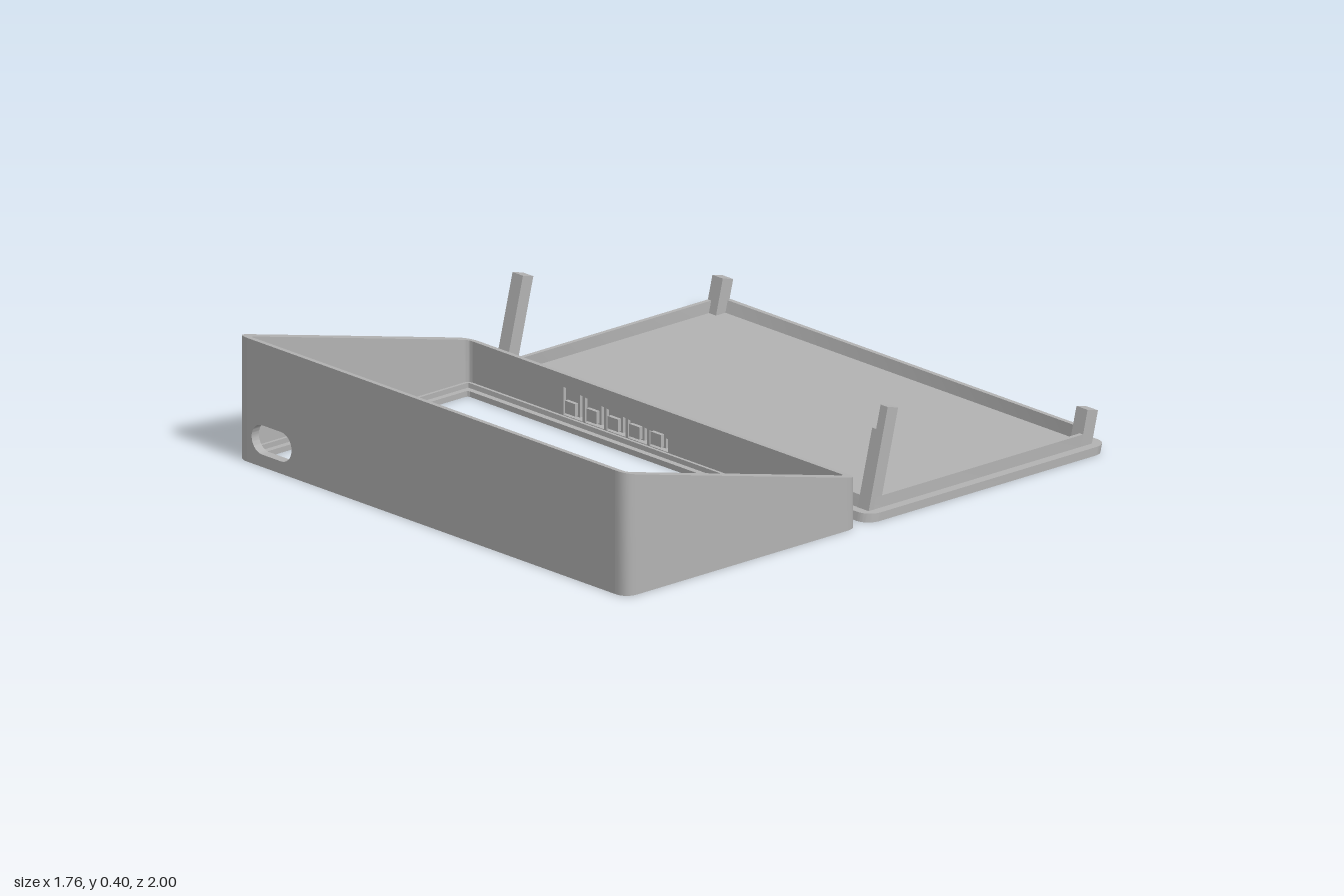
import * as THREE from 'three';
import { toCreasedNormals } from 'three/addons/utils/BufferGeometryUtils.js';

const plastic = new THREE.MeshStandardMaterial({ color: 0xb2b2b2 });
plastic.name = 'grey plastic';

const SLOPE = 0.249;                              // tilt of the sloped opening
const rimHeight = (z) => 0.4 - SLOPE * (1 - z);

// Move every vertex by a rule
function warp(geo, rule) {
  const p = geo.attributes.position;
  const v = new THREE.Vector3();
  for (let i = 0; i < p.count; i++) {
    rule(v.fromBufferAttribute(p, i));
    p.setXYZ(i, v.x, v.y, v.z);
  }
  geo.computeVertexNormals();
  return geo;
}

function add(parent, name, geo) {
  const mesh = new THREE.Mesh(toCreasedNormals(geo, 0.6), plastic);
  mesh.name = name;
  parent.add(mesh);
  return mesh;
}

// Rounded rectangle, a..b across and c..d along
function roundRect(a, b, c, d, r, Type = THREE.Shape) {
  const s = new Type();
  s.moveTo(a + r, c);
  s.lineTo(b - r, c);
  s.absarc(b - r, c + r, r, -Math.PI / 2, 0, false);
  s.lineTo(b, d - r);
  s.absarc(b - r, d - r, r, 0, Math.PI / 2, false);
  s.lineTo(a + r, d);
  s.absarc(a + r, d - r, r, Math.PI / 2, Math.PI, false);
  s.lineTo(a, c + r);
  s.absarc(a + r, c + r, r, Math.PI, Math.PI * 1.5, false);
  return s;
}

// Plan outline by z range (shape y is -z)
const plan = (x0, x1, z0, z1, r, Type) => roundRect(x0, x1, -z1, -z0, r, Type);

const extrude = (shape, depth) =>
  new THREE.ExtrudeGeometry(shape, { depth, bevelEnabled: false, curveSegments: 8 });

// Slab standing from y0 to y1 over a plan outline
const slab = (shape, y0, y1) => extrude(shape, y1 - y0).rotateX(-Math.PI / 2).translate(0, y0, 0);

// Upright wall between z0 and z1 with holes and a sloped top
function wall(holes, z0, z1) {
  const s = new THREE.Shape();
  s.moveTo(-0.83, 0);
  s.lineTo(0.83, 0);
  s.lineTo(0.83, 1);
  s.lineTo(-0.83, 1);
  s.closePath();
  s.holes.push(...holes);
  return warp(extrude(s, z1 - z0).translate(0, 0, z0), (v) => {
    if (v.y > 0.99) v.y = rimHeight(v.z);
  });
}

function buildHousing() {
  const housing = new THREE.Group();
  housing.name = 'housing';

  // Side walls with rounded corners
  for (const s of [1, -1]) {
    const c = new THREE.Shape();
    c.moveTo(s * 0.83, -1);
    c.quadraticCurveTo(s * 0.88, -1, s * 0.88, -0.95);
    c.lineTo(s * 0.88, -0.085);
    c.quadraticCurveTo(s * 0.88, -0.035, s * 0.83, -0.035);
    c.lineTo(s * 0.83, -0.065);
    c.quadraticCurveTo(s * 0.85, -0.065, s * 0.85, -0.085);
    c.lineTo(s * 0.85, -0.95);
    c.quadraticCurveTo(s * 0.85, -0.97, s * 0.83, -0.97);
    c.closePath();
    add(housing, s > 0 ? 'leftWall' : 'rightWall', warp(slab(c, 0, 1), (v) => {
      v.y *= rimHeight(v.z);
    }));
  }

  // Front wall with the cable slot
  const slot = roundRect(-0.81, -0.63, 0.04, 0.135, 0.0474, THREE.Path);
  add(housing, 'frontWall', wall([slot], 0.97, 1));

  // Back wall with five flexible button tongues
  const slits = [];
  for (let i = 0; i < 5; i++) {
    const x = -0.378 + i * 0.097;
    const w = 0.042, g = 0.01, lo = 0.036, hi = 0.135;
    slits.push(new THREE.Path([
      [x - w, hi], [x - w, lo], [x + w, lo], [x + w, hi],
      [x + w - g, hi], [x + w - g, lo + g], [x - w + g, lo + g], [x - w + g, hi],
    ].map(([a, b]) => new THREE.Vector2(a, b))));
    add(housing, 'buttonNub', new THREE.BoxGeometry(0.046, 0.04, 0.018).translate(x, 0.07, 0.069));
  }
  add(housing, 'backWall', wall(slits, 0.035, 0.065));

  // Stepped bezel around the screen window
  const bezel = plan(-0.85, 0.85, 0.065, 0.97, 0.02);
  bezel.holes.push(plan(-0.82, 0.68, 0.095, 0.935, 0.012, THREE.Path));
  add(housing, 'bezel', slab(bezel, 0, 0.018));
  const step = plan(-0.85, 0.85, 0.065, 0.97, 0.02);
  step.holes.push(plan(-0.84, 0.75, 0.075, 0.957, 0.003, THREE.Path));
  add(housing, 'bezelStep', slab(step, 0.018, 0.034));
  return housing;
}

function buildLid() {
  const lid = new THREE.Group();
  lid.name = 'lid';
  const lean = (v) => { v.z -= SLOPE * v.y; };

  add(lid, 'lidPlate', warp(slab(plan(-0.88, 0.88, -0.994, 0, 0.05), 0, 0.027), lean));

  // Raised locating lip
  const lip = plan(-0.847, 0.847, -0.962, -0.03, 0.02);
  lip.holes.push(plan(-0.832, 0.832, -0.947, -0.045, 0.006, THREE.Path));
  add(lid, 'lidLip', warp(slab(lip, 0.027, 0.065), lean));

  // Leaning corner posts, cut square at the top
  const post = (name, x0, x1, zFront, top) => {
    const geo = new THREE.BoxGeometry(x1 - x0, top - 0.02, 0.046);
    geo.translate((x0 + x1) / 2, (top + 0.02) / 2, zFront - 0.023);
    add(lid, name, warp(geo, (v) => {
      if (v.y > 0.05) v.y += SLOPE * (v.z - zFront);
      lean(v);
    }));
  };
  post('tallPost', -0.847, -0.8, -0.029, 0.345);
  post('tallPost', 0.815, 0.847, -0.029, 0.345);
  post('tallPostStep', 0.797, 0.815, -0.029, 0.27);
  post('shortPost', -0.847, -0.8, -0.908, 0.14);
  post('shortPost', 0.797, 0.847, -0.908, 0.14);
  return lid;
}

export function createModel() {
  const model = new THREE.Group();
  model.name = 'deskEnclosure';
  model.add(buildHousing(), buildLid());
  return model;
}
